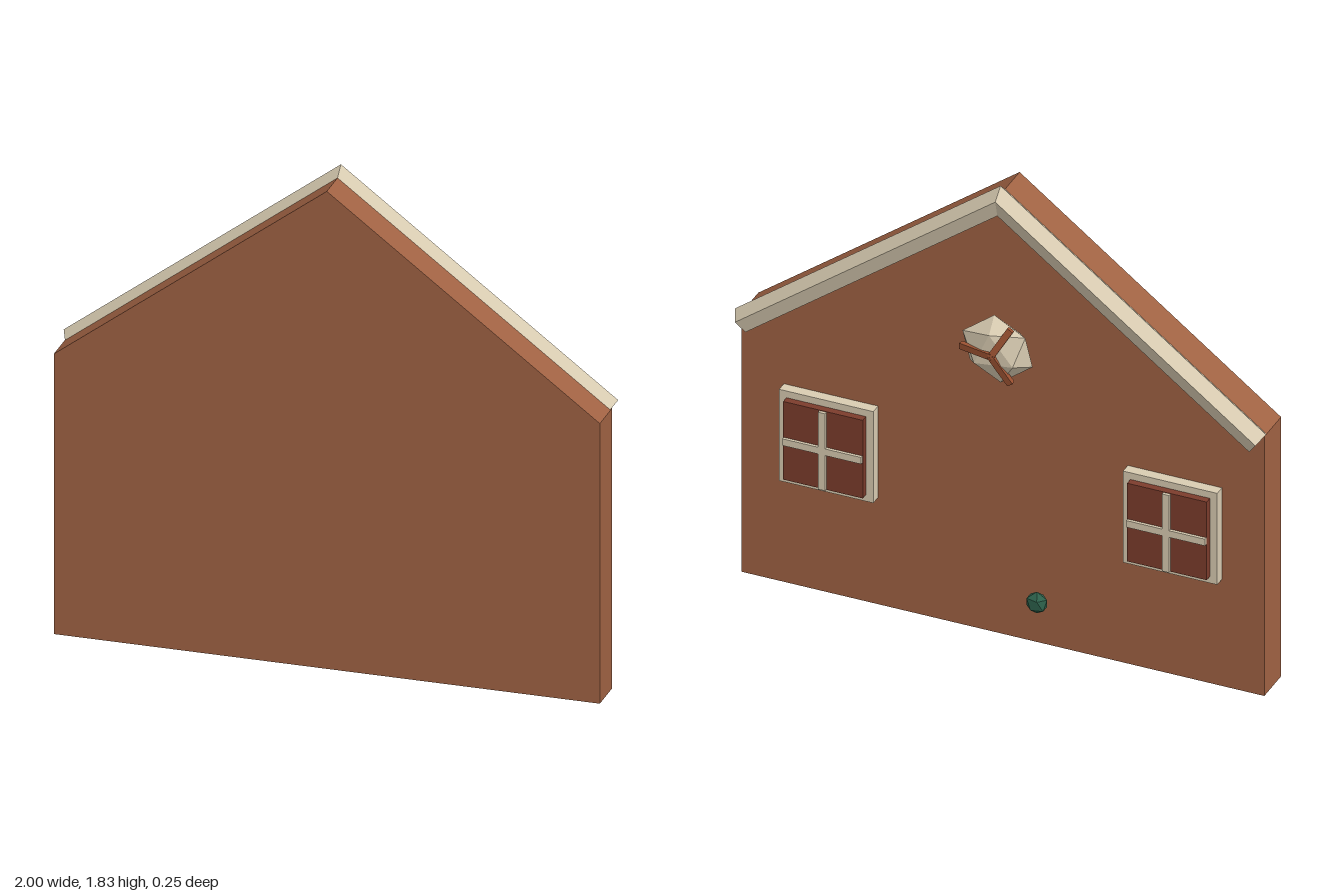
import * as THREE from 'three';

const mat = (name, color) => new THREE.MeshStandardMaterial({ name, color });

export function createModel() {
  const brick = mat('brick', 0xa06243);
  const cream = mat('cream', 0xd9ccb2);
  const pane = mat('darkRedBrown', 0x7c3c2c);
  const strap = mat('rust', 0x9c5232);
  const green = mat('darkGreen', 0x2c5f4a);

  const model = new THREE.Group();
  const add = (parent, name, geometry, material, x = 0, y = 0, z = 0) => {
    const mesh = new THREE.Mesh(geometry, material);
    mesh.name = name;
    mesh.position.set(x, y, z);
    parent.add(mesh);
    return mesh;
  };

  // Gabled wall slab
  const outline = new THREE.Shape([
    [-0.985, 0], [0.985, 0], [0.985, 1.05], [0, 1.79], [-0.985, 1.05],
  ].map(([x, y]) => new THREE.Vector2(x, y)));
  add(model, 'gableWall',
    new THREE.ExtrudeGeometry(outline, { depth: 0.14, bevelEnabled: false }), brick, 0, 0, -0.015);

  // Five-sided roof trims, mitred at the ridge
  const slope = Math.atan2(0.74, 0.985);
  const radius = 0.047;
  const length = 0.972 / Math.cos(slope);
  let trim = new THREE.CylinderGeometry(radius, radius, length, 5, 1, false, Math.PI / 2);
  trim.rotateZ(Math.PI / 2).translate(length / 2, 0, 0);
  const p = trim.attributes.position;
  for (let i = 0; i < p.count; i++) {
    if (p.getX(i) < length / 2) p.setX(i, -p.getY(i) * Math.tan(slope));
  }
  trim = trim.toNonIndexed();
  trim.rotateZ(-slope);
  trim.computeVertexNormals();
  const ridgeY = 1.825 - radius / Math.cos(slope);
  add(model, 'leftRoofTrim', trim, cream, 0, ridgeY, -0.035);
  add(model, 'rightRoofTrim', trim, cream, 0, ridgeY, -0.035).rotation.y = Math.PI;

  // Two windows on the back: frame, raised pane and crossed bars
  for (const side of [1, -1]) {
    const win = new THREE.Group();
    win.name = side > 0 ? 'leftWindow' : 'rightWindow';
    win.position.set(side * 0.648, 0.617, 0);
    add(win, 'windowFrame', new THREE.BoxGeometry(0.355, 0.37, 0.045), cream, 0, 0, -0.0325);
    add(win, 'windowPane', new THREE.BoxGeometry(0.3, 0.316, 0.03), pane, 0, 0, -0.067);
    add(win, 'verticalBar', new THREE.BoxGeometry(0.027, 0.312, 0.018), cream, 0, 0, -0.0845);
    add(win, 'horizontalBar', new THREE.BoxGeometry(0.297, 0.027, 0.017), cream, 0, 0, -0.0845);
    model.add(win);
  }

  // Faceted gable ornament with three radiating straps
  const ornament = new THREE.Group();
  ornament.name = 'gableOrnament';
  ornament.position.set(0, 1.18, 0);
  const gem = new THREE.IcosahedronGeometry(0.14, 0);
  gem.applyQuaternion(new THREE.Quaternion().setFromUnitVectors(
    new THREE.Vector3(1, 1, 1).normalize(), new THREE.Vector3(0, 0, -1)));
  gem.scale(1, 0.92, 0.44);
  add(ornament, 'facetedBoss', gem, cream, 0, 0, -0.06);
  for (let i = 0; i < 3; i++) {
    const arm = new THREE.BoxGeometry(0.13, 0.024, 0.018);
    arm.translate(0.063, 0, 0).rotateY(-0.2);
    add(ornament, 'ornamentStrap', arm, strap, 0, 0, -0.115).rotation.z = i * Math.PI * 2 / 3;
  }
  model.add(ornament);

  // Small faceted knob low on the back, one vertex pointing up
  const knob = new THREE.IcosahedronGeometry(0.043, 0);
  knob.rotateZ(Math.atan(2 / (1 + Math.sqrt(5))));
  knob.scale(1, 1, 0.75);
  add(model, 'greenKnob', knob, green, -0.148, 0.19, -0.06);

  return model;
}
